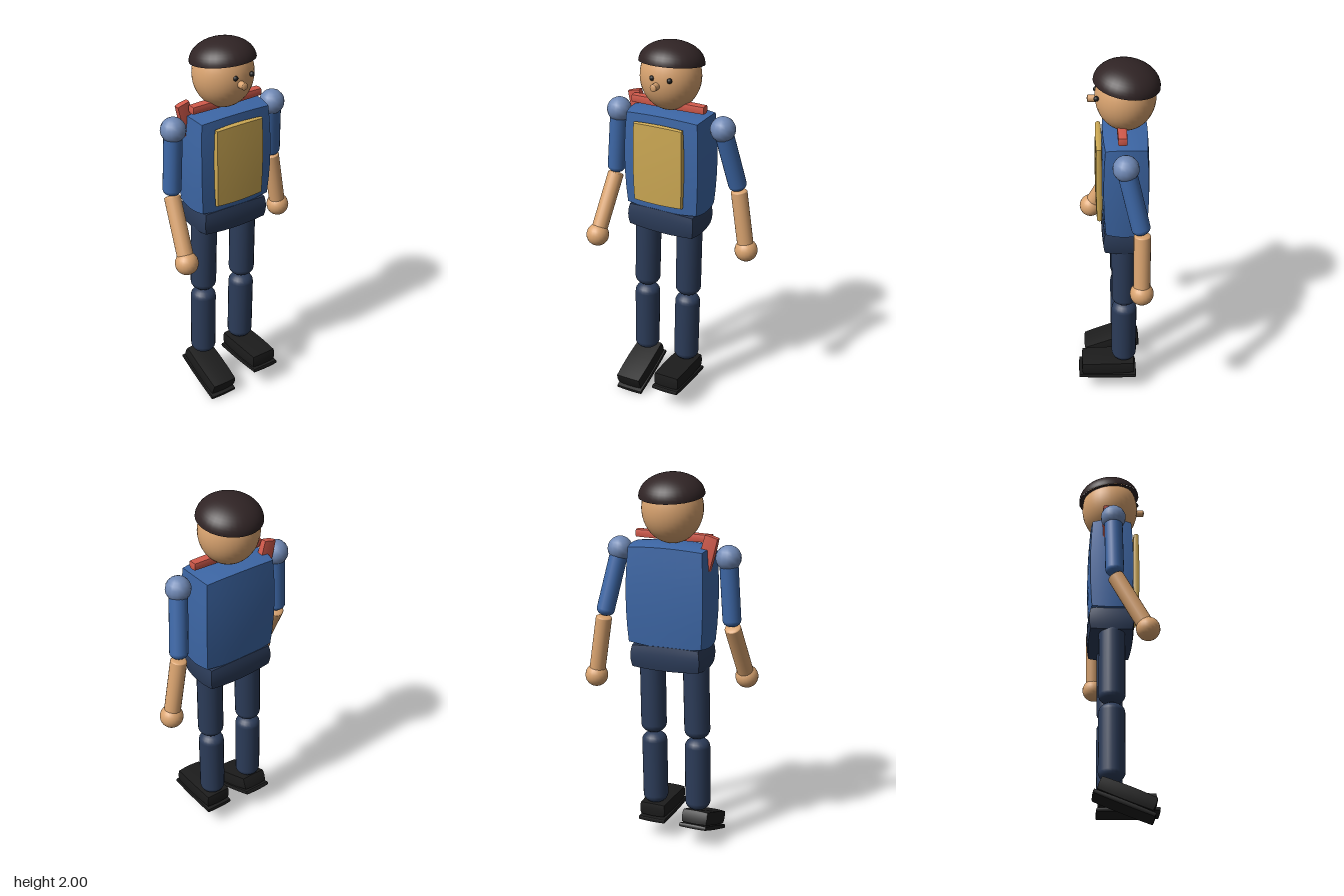
import * as THREE from 'three';

const mat = (name, color) => {
  const m = new THREE.MeshStandardMaterial({ color });
  m.name = name;
  return m;
};

export function createModel() {
  const skin = mat('skin', 0xdaa470);
  const shirt = mat('shirt blue', 0x3d67a6);
  const shoulderBlue = mat('shoulder blue', 0x7089b5);
  const trousers = mat('trouser navy', 0x2c3c59);
  const black = mat('black', 0x1c1c1c);
  const capBrown = mat('cap brown', 0x302425);
  const gold = mat('panel gold', 0xcda954);
  const red = mat('scarf red', 0xd25a4b);

  const model = new THREE.Group();
  const add = (name, geometry, material, x = 0, y = 0, z = 0, parent = model) => {
    const mesh = new THREE.Mesh(geometry, material);
    mesh.name = name;
    mesh.position.set(x, y, z);
    parent.add(mesh);
    return mesh;
  };

  // Box with softly swollen faces and crisp edges
  const pillow = (w, h, d, swell) => {
    const g = new THREE.BoxGeometry(w, h, d, 6, 6, 6);
    const p = g.attributes.position;
    for (let i = 0; i < p.count; i++) {
      const a = (2 * p.getX(i)) / w, b = (2 * p.getY(i)) / h, c = (2 * p.getZ(i)) / d;
      const [fa, fb, fc] = [a, b, c].map((v) => 1 - v * v);
      p.setXYZ(i,
        (a * w) / 2 + (a * swell * (fb + fc)) / 2,
        (b * h) / 2 + (b * swell * (fa + fc)) / 2,
        (c * d) / 2 + (c * swell * (fa + fb)) / 2);
    }
    g.computeVertexNormals();
    return g;
  };

  // Limb between two points, with ends rounded over the given height
  const up = new THREE.Vector3(0, 1, 0);
  const limb = (name, from, to, r, cap, material) => {
    const a = new THREE.Vector3(...from), b = new THREE.Vector3(...to);
    const half = a.distanceTo(b) / 2;
    const profile = [];
    for (const s of [-1, 1]) {
      for (let i = 0; i <= 6; i++) {
        const t = ((s < 0 ? i : 6 - i) / 6) * (Math.PI / 2);
        profile.push(new THREE.Vector2(r * Math.sin(t), s * (half - cap + cap * Math.cos(t))));
      }
    }
    const mesh = add(name, new THREE.LatheGeometry(profile, 20), material);
    mesh.position.copy(a).add(b).multiplyScalar(0.5);
    mesh.quaternion.setFromUnitVectors(up, b.sub(a).normalize());
    return mesh;
  };

  // Head, face and cap
  add('head', new THREE.SphereGeometry(1, 32, 24), skin, -0.034, 1.822, -0.047).scale.set(0.159, 0.178, 0.152);
  for (const s of [-1, 1]) {
    add('eye', new THREE.SphereGeometry(0.0135, 12, 10), black, -0.012 + s * 0.049, 1.843, 0.098);
  }
  const nose = limb('nose', [-0.034, 1.807, 0.08], [-0.034, 1.807, 0.143], 0.019, 0.006, skin);
  nose.scale.x = 0.95;
  const cap = new THREE.Group();
  cap.name = 'cap';
  cap.position.set(-0.032, 1.889, -0.052);
  cap.rotation.x = -0.14;
  model.add(cap);
  add('capDome', new THREE.SphereGeometry(1, 32, 12, 0, Math.PI * 2, 0, Math.PI / 2), capBrown, 0, 0, 0, cap)
    .scale.set(0.169, 0.111, 0.167);
  add('capUnderside', new THREE.CircleGeometry(0.167, 32), capBrown, 0, 0, 0, cap).rotation.x = Math.PI / 2;

  // Torso, chest panel and hips
  add('torso', pillow(0.405, 0.5, 0.205, 0.021), shirt, -0.032, 1.375, -0.044);
  add('chestPanel', pillow(0.272, 0.42, 0.024, 0.008), gold, -0.034, 1.379, 0.089);
  add('hips', pillow(0.37, 0.115, 0.215, 0.015), trousers, -0.036, 1.055, -0.044).rotation.z = -0.02;

  // Scarf bar and hanging tail
  add('scarfBar', pillow(0.41, 0.036, 0.042, 0.004), red, -0.034, 1.678, -0.026);
  const tail = add('scarfTail', pillow(0.068, 0.172, 0.03, 0.004), red, -0.24, 1.615, -0.075);
  tail.rotation.z = 0.25;

  // Arms: shoulder, elbow and hand positions for each side
  const arms = [
    ['right', [-0.337, 1.59, -0.042], [-0.36, 1.235, -0.035], [-0.386, 0.923, 0.13]],
    ['left', [0.266, 1.588, -0.038], [0.326, 1.24, -0.118], [0.378, 0.905, -0.116]],
  ];
  for (const [side, shoulder, elbow, hand] of arms) {
    add(side + 'Shoulder', new THREE.SphereGeometry(0.066, 14, 10), shoulderBlue, ...shoulder);
    limb(side + 'UpperArm', shoulder, elbow, 0.048, 0.035, shirt);
    limb(side + 'Forearm', elbow, hand, 0.043, 0.012, skin);
    add(side + 'Hand', new THREE.SphereGeometry(0.061, 20, 14), skin, ...hand);
  }

  // Legs
  const legs = [
    ['right', -0.164, -0.176, -0.176, -0.182],
    ['left', 0.083, 0.076, 0.074, 0.066],
  ];
  for (const [side, hipX, kneeX, shinX, ankleX] of legs) {
    limb(side + 'Thigh', [hipX, 1.04, -0.04], [kneeX, 0.6, -0.04], 0.069, 0.05, trousers);
    limb(side + 'Shin', [shinX, 0.605, -0.04], [ankleX, 0.19, -0.04], 0.068, 0.05, trousers);
  }

  // Shoes with separate soles; the right one points down
  const shoes = [
    ['right', -0.187, 0.115, 0.033, 0.37, 0],
    ['left', 0.065, 0.161, 0.05, 0, -0.03],
  ];
  for (const [side, x, y, z, pitch, solePitch] of shoes) {
    const shoe = new THREE.Group();
    shoe.name = side + 'Shoe';
    shoe.position.set(x, y, z);
    shoe.rotation.x = pitch;
    model.add(shoe);
    add(side + 'Upper', pillow(0.138, 0.066, 0.285, 0.006), black, 0, 0, 0, shoe);
    add(side + 'Sole', pillow(0.15, 0.019, 0.315, 0.004), black, 0, -0.051, 0.003, shoe).rotation.x = solePitch;
  }

  return model;
}
